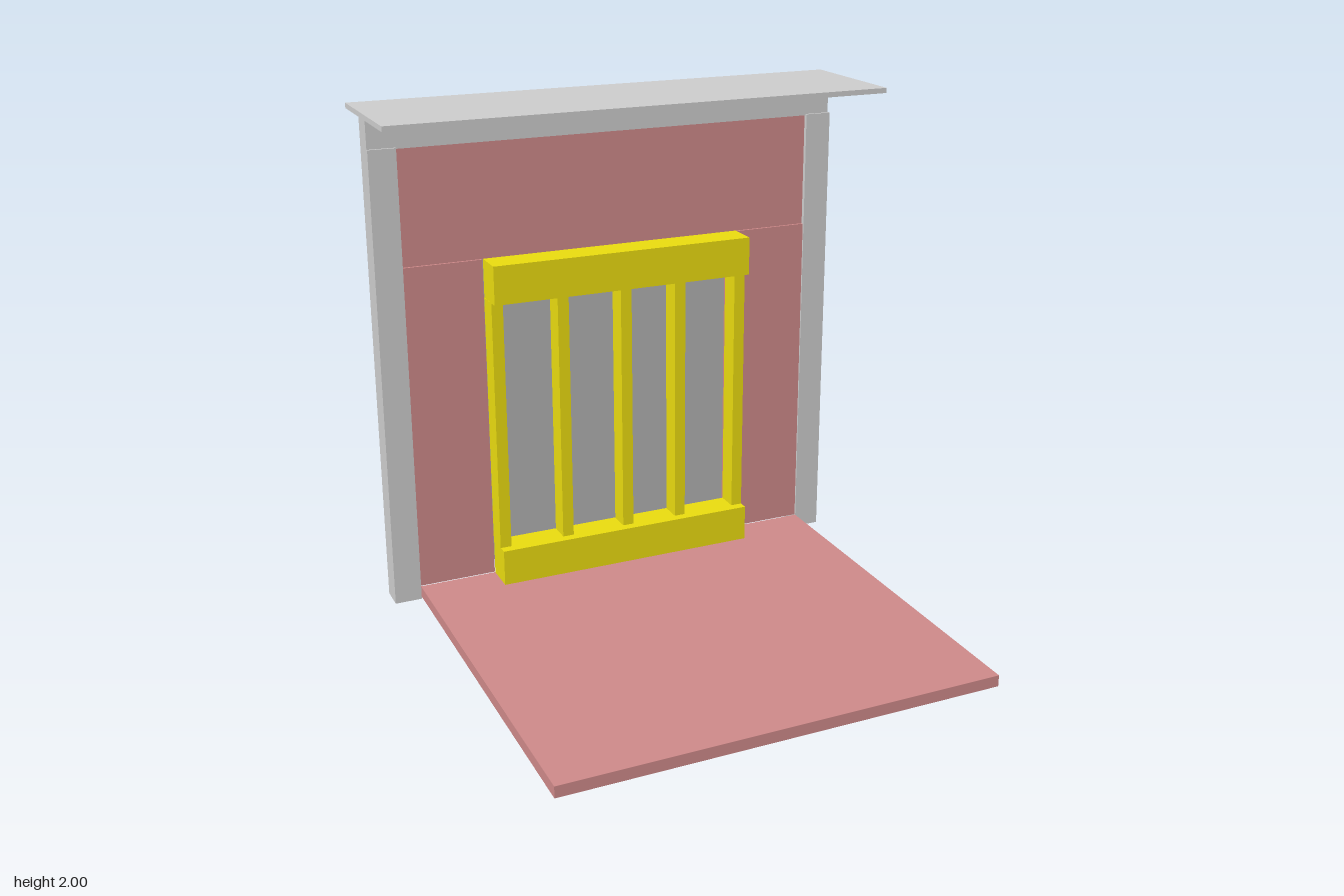
import * as THREE from 'three';

const grey = new THREE.MeshStandardMaterial({ color: 0xcccccc });
const darkGrey = new THREE.MeshStandardMaterial({ color: 0xb0b0b0 });
const red = new THREE.MeshStandardMaterial({ color: 0xcc8888 });
const yellow = new THREE.MeshStandardMaterial({ color: 0xe8da0f });

// Box given by its [min, max] extent on each axis
function block(name, material, [x0, x1], [y0, y1], [z0, z1]) {
  const mesh = new THREE.Mesh(new THREE.BoxGeometry(x1 - x0, y1 - y0, z1 - z0), material);
  mesh.position.set((x0 + x1) / 2, (y0 + y1) / 2, (z0 + z1) / 2);
  mesh.name = name;
  return mesh;
}

export function createModel() {
  const model = new THREE.Group();
  model.name = 'fireplace';

  // Hearth slab on the floor
  model.add(block('hearth', red, [-0.855, 0.862], [0.01, 0.055], [-0.55, 1]));

  // Surround: two posts, a header and the mantel shelf
  const surround = new THREE.Group();
  surround.name = 'surround';
  surround.add(
    block('rightPost', grey, [-0.963, -0.855], [0, 1.845], [-0.65, -0.548]),
    block('leftPost', grey, [0.862, 0.97], [0, 1.845], [-0.65, -0.548]),
    block('header', grey, [-0.963, 0.965], [1.84, 1.98], [-0.65, -0.558]),
    block('mantelShelf', grey, [-1, 1], [1.98, 2], [-0.69, -0.165]),
  );
  model.add(surround);

  // Brick wall beside and above the opening
  const wall = new THREE.Group();
  wall.name = 'brickWall';
  wall.add(
    block('rightWall', red, [-0.855, -0.54], [0.055, 1.385], [-0.65, -0.555]),
    block('leftWall', red, [0.545, 0.862], [0.055, 1.385], [-0.65, -0.555]),
    block('upperWall', red, [-0.855, 0.862], [1.385, 1.84], [-0.66, -0.565]),
  );
  model.add(wall);

  // Firebox behind the opening
  model.add(block('firebox', darkGrey, [-0.545, 0.553], [0.058, 1.372], [-1, -0.662]));

  // Grate: two deep rails joined by five bars
  const grate = new THREE.Group();
  grate.name = 'grate';
  grate.add(
    block('bottomRail', yellow, [-0.54, 0.545], [0.055, 0.203], [-0.548, -0.422]),
    block('topRail', yellow, [-0.54, 0.545], [1.235, 1.39], [-0.548, -0.422]),
  );
  for (const x of [-0.518, -0.248, 0.019, 0.255, 0.522]) {
    grate.add(block('bar', yellow, [x - 0.023, x + 0.023], [0.203, 1.235], [-0.548, -0.46]));
  }
  model.add(grate);

  return model;
}
